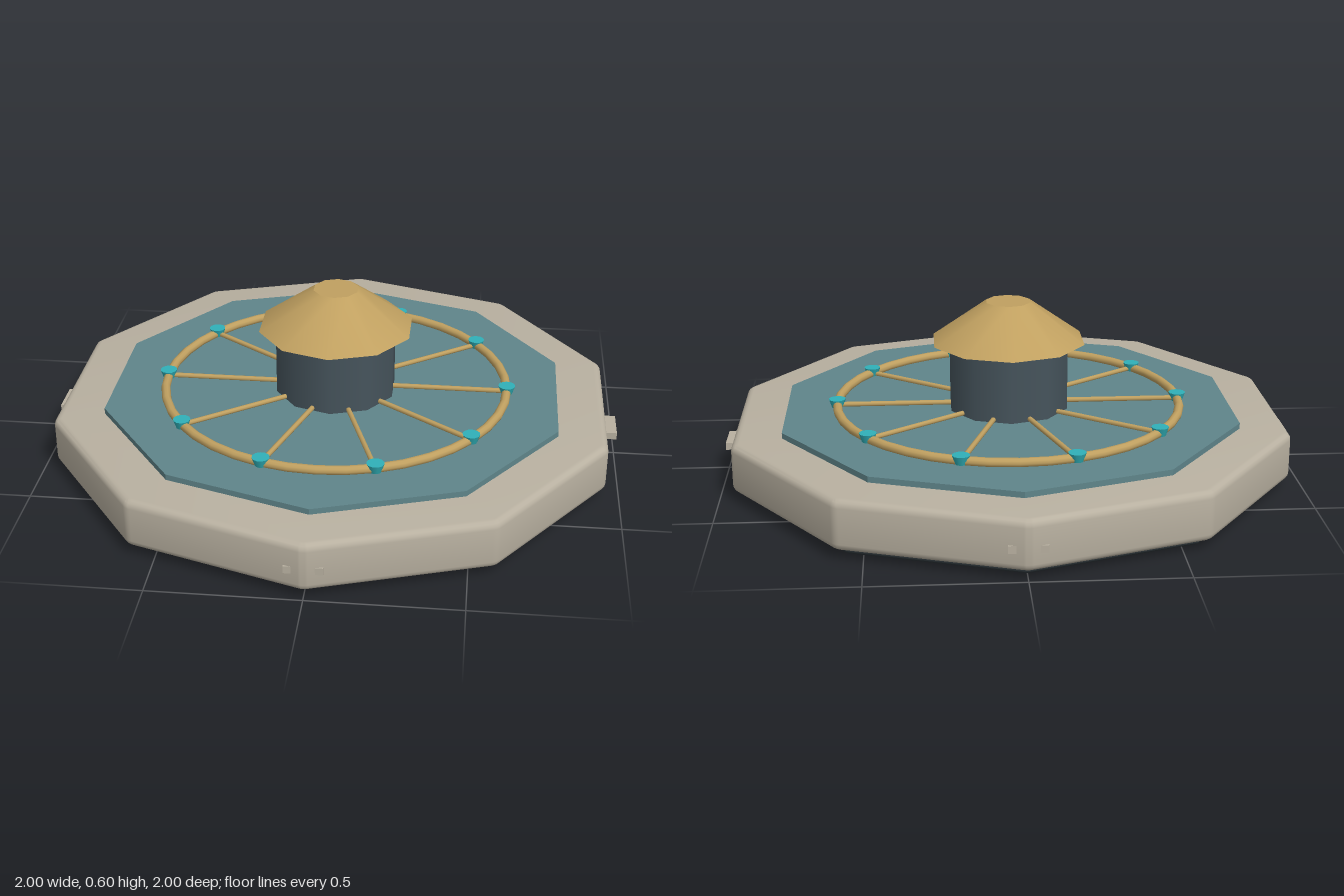
import * as THREE from 'three';
import { toCreasedNormals } from 'three/addons/utils/BufferGeometryUtils.js';

const SIDES = 10;
const mat = (color) => new THREE.MeshStandardMaterial({ color });

// Decagon with points on +z and -z, its corners rounded by r
function decagon(radius, r) {
  const shape = new THREE.Shape();
  const inner = radius - r / Math.cos(Math.PI / SIDES);
  for (let i = 0; i < SIDES; i++) {
    const a = Math.PI / 2 + (i / SIDES) * Math.PI * 2;
    for (let k = -2; k <= 2; k++) {
      const b = a + (k / 4) * (Math.PI * 2 / SIDES);
      const x = inner * Math.cos(a) + r * Math.cos(b);
      const y = inner * Math.sin(a) + r * Math.sin(b);
      if (i === 0 && k === -2) shape.moveTo(x, y);
      else shape.lineTo(x, y);
    }
  }
  shape.closePath();
  return shape;
}

// Ten-sided slab from y0 to y1 with rounded rims
function slab(radius, y0, y1, bevel, corner) {
  const geo = new THREE.ExtrudeGeometry(decagon(radius, corner), {
    depth: y1 - y0 - 2 * bevel, bevelEnabled: true, bevelThickness: bevel,
    bevelSize: bevel, bevelOffset: -bevel, bevelSegments: 4,
  });
  geo.rotateX(-Math.PI / 2).translate(0, y0 + bevel, 0);
  return toCreasedNormals(geo, 0.6);
}

export function createModel() {
  const model = new THREE.Group();
  model.name = 'wheelPlatform';
  const stone = mat(0xb8b0a0), teal = mat(0x5f858a), gold = mat(0xc0a060);
  const slate = mat(0x46545c), gem = mat(0x30b0b8), dark = mat(0x2c3438);

  const add = (name, geo, material, x = 0, y = 0, z = 0, parent = model) => {
    const mesh = new THREE.Mesh(geo, material);
    mesh.name = name;
    mesh.position.set(x, y, z);
    parent.add(mesh);
    return mesh;
  };

  // Stacked platform
  add('base', slab(0.947, 0, 0.05, 0.012, 0.03), dark);
  add('body', slab(1.002, 0.03, 0.2, 0.025, 0.05), stone);
  const deck = new THREE.CylinderGeometry(0.825, 0.825, 0.04, SIDES);
  add('deck', toCreasedNormals(deck, 0.5), teal, 0, 0.2, 0);

  // Central tower and roof
  add('hub', new THREE.CylinderGeometry(0.215, 0.215, 0.26, SIDES), slate, 0, 0.335, 0);
  add('roof', new THREE.CylinderGeometry(0.08, 0.275, 0.14, SIDES), gold, 0, 0.53, 0);

  // Wheel: rim, spokes and studs
  const wheel = new THREE.Group();
  wheel.name = 'wheel';
  model.add(wheel);
  const rim = new THREE.TorusGeometry(0.607, 0.016, 10, 40).rotateX(Math.PI / 2);
  add('rim', rim, gold, 0, 0.231, 0, wheel);
  const spokeGeo = new THREE.CylinderGeometry(0.009, 0.009, 0.43, 8).rotateZ(Math.PI / 2);
  const studGeo = new THREE.CylinderGeometry(0.03, 0.02, 0.03, 12);
  for (let i = 0; i < SIDES; i++) {
    const arm = new THREE.Group();
    arm.name = 'arm';
    arm.rotation.y = (i / SIDES) * Math.PI * 2;
    wheel.add(arm);
    add('spoke', spokeGeo, gold, 0.392, 0.23, 0, arm);
    add('stud', studGeo, gem, 0.607, 0.236, 0, arm);
  }

  // Four small tabs on the outer wall
  const tabGeo = new THREE.BoxGeometry(0.06, 0.025, 0.125);
  for (let i = 0; i < 4; i++) {
    const holder = new THREE.Group();
    holder.name = 'tabHolder';
    holder.rotation.y = (i * Math.PI) / 2;
    model.add(holder);
    add('tab', tabGeo, stone, i % 2 ? 0.96 : 0.97, 0.103, 0, holder);
  }
  return model;
}
